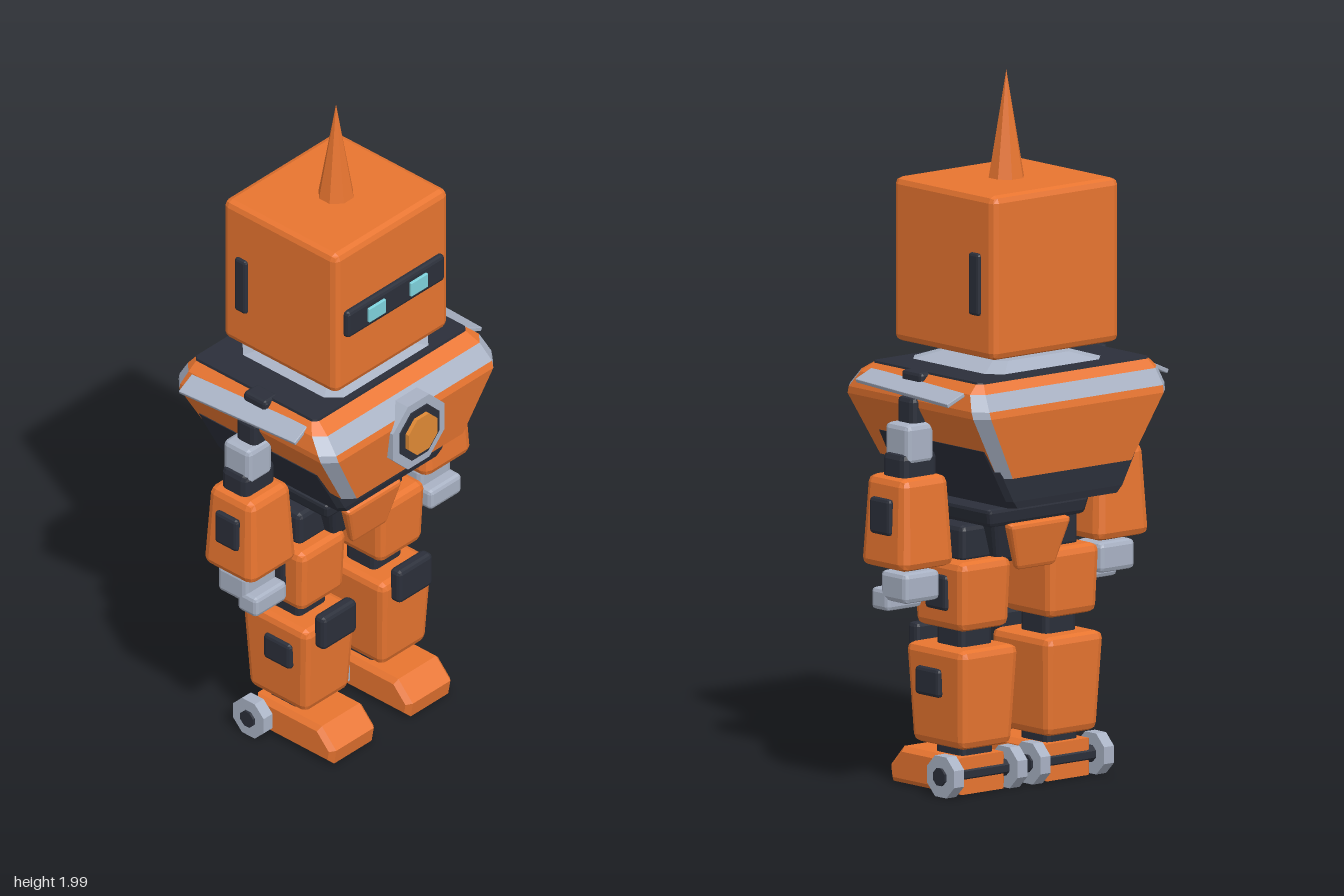
import * as THREE from 'three';
import { RoundedBoxGeometry } from 'three/addons/geometries/RoundedBoxGeometry.js';

const paint = (color, side = THREE.FrontSide) => new THREE.MeshStandardMaterial({ color, side, flatShading: true });
const orange = paint(0xe87530), dark = paint(0x2b2f3a), silver = paint(0xa9b2c4);
const cyan = paint(0x7fd3dd), amber = paint(0xe08a35);

function add(parent, name, geometry, material) {
  const mesh = new THREE.Mesh(geometry, material);
  mesh.name = name;
  parent.add(mesh);
  return mesh;
}

// Chamfered box given by its extents; taper scales the bottom in x and z
function block(parent, name, material, [x0, x1], [y0, y1], [z0, z1], r = 0.015, taper = 1) {
  const w = x1 - x0, h = y1 - y0, d = z1 - z0;
  const g = new RoundedBoxGeometry(w, h, d, 1, Math.min(r, w * 0.45, h * 0.45, d * 0.45));
  const p = g.attributes.position;
  for (let i = 0; i < p.count; i++) {
    const s = THREE.MathUtils.lerp(taper, 1, p.getY(i) / h + 0.5);
    p.setX(i, p.getX(i) * s);
    p.setZ(i, p.getZ(i) * s);
  }
  const mesh = add(parent, name, g, material);
  mesh.position.set((x0 + x1) / 2, (y0 + y1) / 2, (z0 + z1) / 2);
  return mesh;
}

// Rectangle with cut corners: y, back x, front x, half width z, cut c
const ring = ([y, x0, x1, z, c]) => [
  [x1, -z + c], [x1, z - c], [x1 - c, z], [x0 + c, z],
  [x0, z - c], [x0, -z + c], [x0 + c, -z], [x1 - c, -z],
].map(([x, zz]) => [x, y, zz]);

// Skin between successive rings; keep(i) chooses which of the eight sides to make
function loft(sections, keep = () => true, top = false, bottom = false) {
  const rings = sections.map(ring), v = [];
  for (let k = 0; k < rings.length - 1; k++) {
    for (let i = 0; i < 8; i++) {
      if (!keep(i)) continue;
      const j = (i + 1) % 8, a = rings[k][i], b = rings[k][j], c = rings[k + 1][j], d = rings[k + 1][i];
      v.push(...a, ...d, ...c, ...a, ...c, ...b);
    }
  }
  for (let i = 1; i < 7; i++) {
    const t = rings[rings.length - 1], u = rings[0];
    if (top) v.push(...t[0], ...t[i + 1], ...t[i]);
    if (bottom) v.push(...u[0], ...u[i], ...u[i + 1]);
  }
  const g = new THREE.BufferGeometry();
  g.setAttribute('position', new THREE.Float32BufferAttribute(v, 3));
  g.computeVertexNormals();
  return g;
}

// Octagonal disc with its axis along x or z
function disc(parent, name, material, r, depth, [x, y, z], axis) {
  const g = new THREE.CylinderGeometry(r, r, depth, 8);
  g.rotateY(Math.PI / 8);
  if (axis === 'x') g.rotateZ(-Math.PI / 2);
  else g.rotateX(Math.PI / 2);
  add(parent, name, g, material).position.set(x, y, z);
}

function makeHead() {
  const head = new THREE.Group();
  head.name = 'head';
  block(head, 'skull', orange, [-0.228, 0.196], [1.24, 1.70], [-0.23, 0.23], 0.02);
  const spike = add(head, 'spike', new THREE.ConeGeometry(0.053, 0.31, 8), orange);
  spike.position.set(-0.015, 1.845, 0);
  spike.rotation.y = Math.PI / 8;
  block(head, 'visor', dark, [0.18, 0.213], [1.42, 1.505], [-0.197, 0.197], 0.01);
  for (const s of [-1, 1]) {
    block(head, 'eye', cyan, [0.2, 0.221], [1.44, 1.485], [s * 0.085 - 0.034, s * 0.085 + 0.034], 0.002);
    block(head, 'earPanel', dark, [-0.175, -0.132], [1.36, 1.535], [s * 0.23 - 0.011, s * 0.23 + 0.011], 0.008);
  }
  block(head, 'neck', dark, [-0.1, 0.07], [1.16, 1.26], [-0.105, 0.105]);
  return head;
}

function makeTorso() {
  const torso = new THREE.Group();
  torso.name = 'torso';
  // Shell: orange faces, silver corners, a silver band and an orange rim
  const foot = [0.92, -0.292, 0.262, 0.245, 0.03];
  const waist = [1.10, -0.315, 0.285, 0.348, 0.035];
  const bandLow = [1.12, -0.31, 0.278, 0.35, 0.035];
  const bandHigh = [1.165, -0.285, 0.238, 0.338, 0.03];
  const rim = [1.19, -0.265, 0.196, 0.312, 0.015];
  add(torso, 'shellFaces', loft([foot, waist, bandLow], (i) => i % 2 === 0, false, true), orange);
  add(torso, 'shellCorners', loft([foot, waist, bandLow], (i) => i % 2 === 1), silver);
  add(torso, 'shellBand', loft([bandLow, bandHigh], (i) => i % 4 !== 2), silver);
  add(torso, 'shellShoulders', loft([bandLow, bandHigh], (i) => i % 4 === 2), orange);
  add(torso, 'shellRim', loft([bandHigh, rim]), orange);
  add(torso, 'topPad', loft([[1.18, -0.265, 0.195, 0.311, 0.01], [1.195, -0.262, 0.192, 0.308, 0.01]], undefined, true), dark);
  add(torso, 'collar', loft([[1.19, -0.22, 0.185, 0.225, 0.04], [1.217, -0.15, 0.12, 0.14, 0.03]], undefined, true), silver);
  // Dark lower body
  add(torso, 'belly', loft([
    [0.83, -0.272, 0.195, 0.20, 0.02], [0.85, -0.275, 0.2, 0.212, 0.015],
    [0.92, -0.275, 0.2, 0.25, 0.015], [1.0, -0.272, 0.195, 0.294, 0.015],
  ], undefined, true, true), dark);
  // Chest emblem discs
  disc(torso, 'chestRing', silver, 0.113, 0.06, [0.265, 1.05, 0], 'x');
  disc(torso, 'chestInset', dark, 0.085, 0.05, [0.275, 1.05, 0], 'x');
  disc(torso, 'chestCore', amber, 0.063, 0.05, [0.287, 1.05, 0], 'x');
  for (const s of [-1, 1]) {
    // Sloping plate above each arm
    const fin = block(torso, 'shoulderPlate', silver, [-0.235, 0.18], [1.149, 1.161], [s * 0.36 - 0.032, s * 0.36 + 0.032], 0.002);
    fin.rotation.set(s * 0.42, s * 0.06, 0);
    block(torso, 'shoulderStrap', dark, [-0.05, 0.035], [1.15, 1.196], [s * 0.31 - 0.03, s * 0.31 + 0.03], 0.01);
  }
  return torso;
}

function makePelvis() {
  const pelvis = new THREE.Group();
  pelvis.name = 'pelvis';
  block(pelvis, 'waist', dark, [-0.1, 0.07], [0.78, 0.86], [-0.1, 0.1]);
  block(pelvis, 'belt', dark, [-0.157, 0.122], [0.755, 0.808], [-0.185, 0.185], 0.012, 0.93);
  block(pelvis, 'pelvisCore', dark, [-0.125, 0.1], [0.64, 0.77], [-0.14, 0.14], 0.015, 0.75);
  block(pelvis, 'hipAxle', dark, [-0.075, 0.045], [0.65, 0.755], [-0.212, 0.212]);
  for (const [x0, x1, lean] of [[0.09, 0.128, -0.12], [-0.158, -0.12, 0.12]]) {
    const plate = block(pelvis, 'groinPlate', orange, [x0, x1], [0.625, 0.76], [-0.112, 0.112], 0.012, 0.6);
    plate.rotation.z = lean;
  }
  return pelvis;
}

function makeLeg() {
  const leg = new THREE.Group();
  leg.name = 'leg';
  block(leg, 'thigh', orange, [-0.122, 0.092], [0.465, 0.66], [0.066, 0.253], 0.022, 0.93);
  block(leg, 'thighPanel', dark, [-0.06, 0.028], [0.52, 0.62], [0.235, 0.261], 0.01);
  block(leg, 'kneeJoint', dark, [-0.07, 0.04], [0.38, 0.5], [0.095, 0.21]);
  block(leg, 'kneePad', dark, [0.105, 0.145], [0.355, 0.46], [0.085, 0.222], 0.012);
  block(leg, 'shin', orange, [-0.132, 0.114], [0.135, 0.415], [0.05, 0.26], 0.022, 0.87);
  block(leg, 'shinPanel', dark, [-0.04, 0.06], [0.275, 0.355], [0.24, 0.27], 0.01);
  block(leg, 'ankle', dark, [-0.075, 0.04], [0.09, 0.15], [0.095, 0.212]);
  // Foot: side outline with a sloping toe
  const outline = new THREE.Shape([[-0.08, 0.022], [0.18, 0.022], [0.185, 0.05], [0.14, 0.098], [-0.08, 0.098]]
    .map(([x, y]) => new THREE.Vector2(x, y)));
  const bevel = 0.014;
  const footShape = new THREE.ExtrudeGeometry(outline, { depth: 0.152, bevelSize: bevel, bevelThickness: bevel, bevelSegments: 1 });
  add(leg, 'foot', footShape, orange).position.z = 0.079;
  // Heel wheels, inside and outside
  for (const [z, out] of [[0.272, 1], [0.042, -1]]) {
    disc(leg, 'heelWheel', silver, 0.062, 0.036, [-0.075, 0.064, z], 'z');
    disc(leg, 'wheelHub', dark, 0.026, 0.03, [-0.075, 0.064, z + out * 0.01], 'z');
  }
  disc(leg, 'heelAxle', dark, 0.025, 0.23, [-0.075, 0.064, 0.157], 'z');
  return leg;
}

function makeArm() {
  const arm = new THREE.Group();
  arm.name = 'arm';
  block(arm, 'shoulderJoint', dark, [-0.05, 0.02], [1.0, 1.13], [0.27, 0.37]);
  block(arm, 'upperArm', silver, [-0.068, 0.032], [0.945, 1.058], [0.305, 0.403], 0.015);
  block(arm, 'elbow', dark, [-0.065, 0.03], [0.89, 0.978], [0.29, 0.415], 0.018);
  // Forearm widens towards the wrist
  block(arm, 'forearm', orange, [-0.09, 0.07], [0.655, 0.912], [0.272, 0.436], 0.022, 1.18);
  block(arm, 'forearmPanel', dark, [-0.05, 0.034], [0.752, 0.855], [0.435, 0.457], 0.01);
  block(arm, 'wrist', dark, [-0.04, 0.015], [0.62, 0.67], [0.32, 0.39]);
  block(arm, 'palm', silver, [-0.075, 0.033], [0.56, 0.645], [0.29, 0.418], 0.014);
  block(arm, 'fingers', silver, [0, 0.072], [0.53, 0.592], [0.29, 0.418], 0.012);
  return arm;
}

export function createModel() {
  const model = new THREE.Group();
  model.name = 'robot';
  model.add(makeHead(), makeTorso(), makePelvis());
  // Limbs are built for the +z side and mirrored
  for (const s of [1, -1]) {
    for (const make of [makeLeg, makeArm]) {
      const limb = make();
      limb.name = (s > 0 ? 'right' : 'left') + (make === makeLeg ? 'Leg' : 'Arm');
      limb.scale.z = s;
      model.add(limb);
    }
  }
  return model;
}
